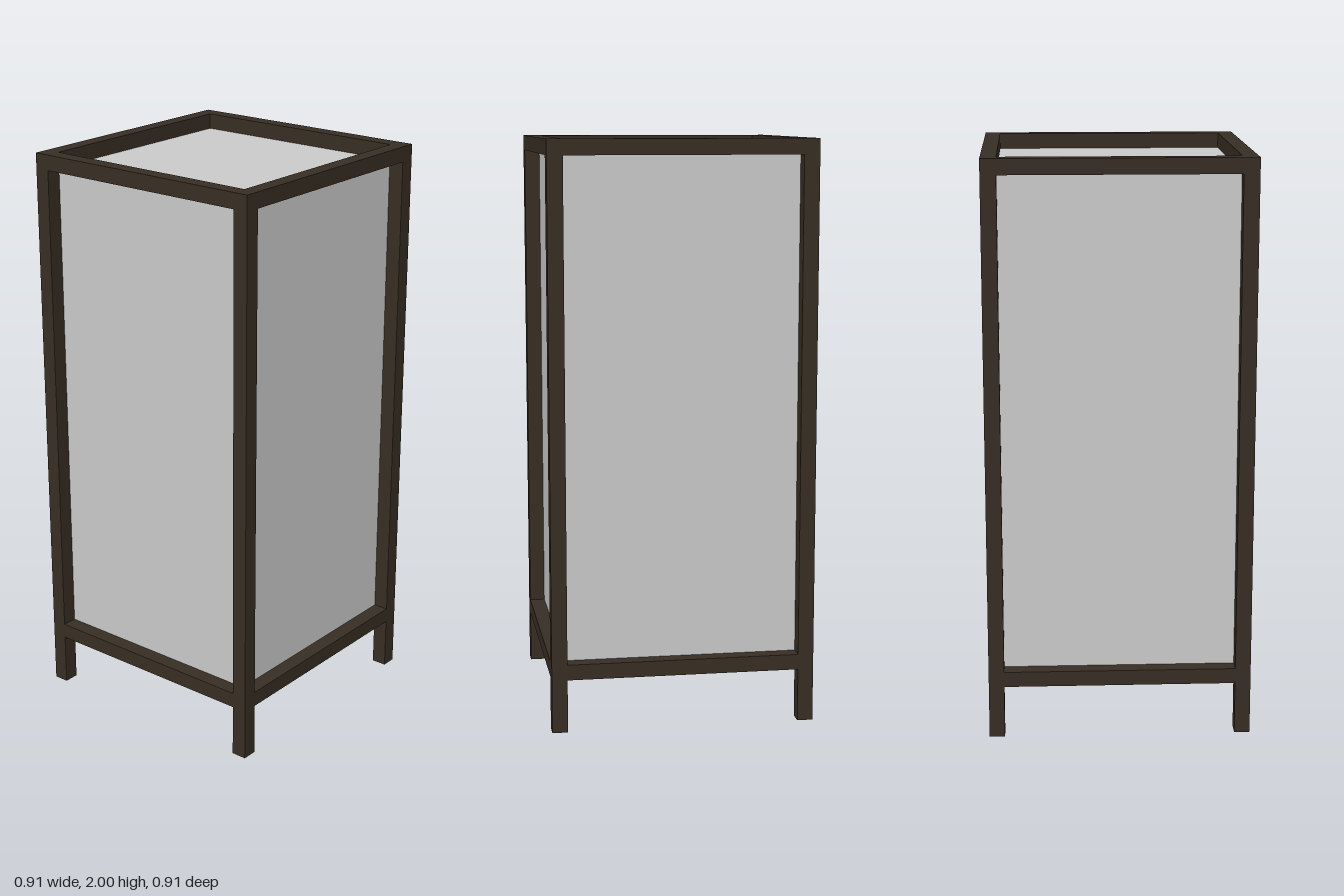
import * as THREE from 'three';

export function createModel() {
  const model = new THREE.Group();
  const wood = new THREE.MeshStandardMaterial({ color: 0x382e24 });
  wood.name = 'dark wood';
  const paper = new THREE.MeshStandardMaterial({ color: 0xcccccc, side: THREE.DoubleSide });
  paper.name = 'pale paper';

  const half = 0.4535;          // outer half width
  const bar = 0.0535;           // bar thickness
  const inner = half - bar;     // half width of the openings
  const mid = half - bar / 2;   // centre line of the bars
  const top = 2;
  const railBottom = 0.184;     // underside of the lower rails
  const low = railBottom + bar; // opening from here...
  const high = top - bar;       // ...up to here

  function add(name, geometry, material, x, y, z) {
    const mesh = new THREE.Mesh(geometry, material);
    mesh.name = name;
    mesh.position.set(x, y, z);
    model.add(mesh);
    return mesh;
  }

  // Corner posts that run down into the legs
  for (const sx of [-1, 1]) {
    for (const sz of [-1, 1]) {
      add('cornerPost', new THREE.BoxGeometry(bar, top, bar), wood, sx * mid, top / 2, sz * mid);
    }
  }

  // Lower and upper rails between the posts
  for (const [name, y] of [['lowerRail', railBottom + bar / 2], ['upperRail', top - bar / 2]]) {
    for (const s of [-1, 1]) {
      add(name, new THREE.BoxGeometry(inner * 2, bar, bar), wood, 0, y, s * mid);
      add(name, new THREE.BoxGeometry(bar, bar, inner * 2), wood, s * mid, y, 0);
    }
  }

  // Four paper walls flush with the inside of the frame; the bottom stays open
  for (let i = 0; i < 4; i++) {
    const angle = (i * Math.PI) / 2;
    const wall = add('wallPanel', new THREE.PlaneGeometry(inner * 2, high - low), paper,
      Math.sin(angle) * inner, (low + high) / 2, Math.cos(angle) * inner);
    wall.rotation.y = angle;
  }

  // Paper lid sunk below the upper rails
  const lid = add('topPanel', new THREE.PlaneGeometry(inner * 2, inner * 2), paper, 0, high, 0);
  lid.rotation.x = -Math.PI / 2;

  return model;
}
